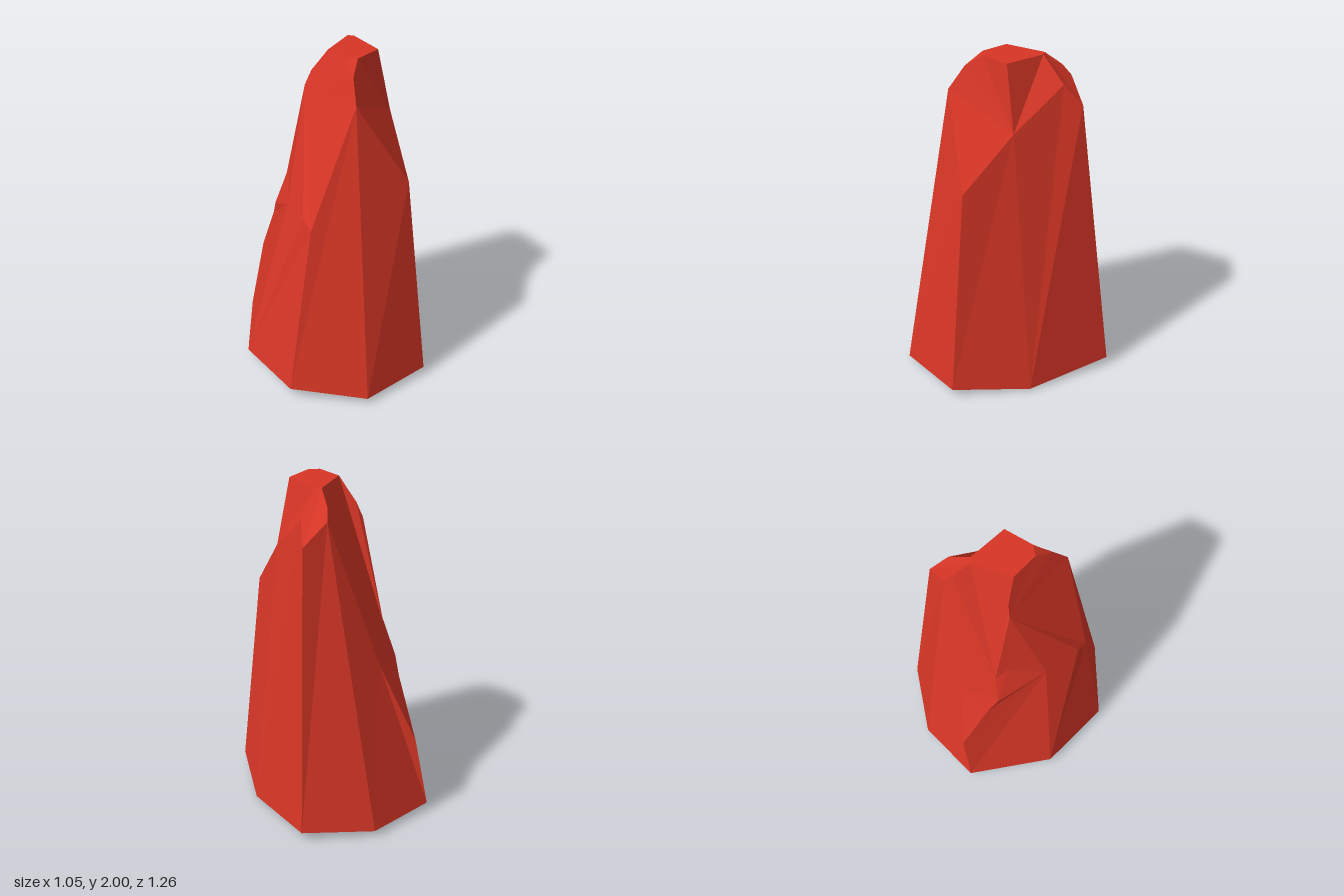
import * as THREE from 'three';

// Corner points, ring by ring
const base = {
  b0: [-0.02, 0.035, 0.63], b1: [0.41, 0.05, 0.5], b2: [0.525, 0.01, 0.05], b3: [0.47, 0.055, -0.48],
  b4: [0.07, 0.035, -0.63], b5: [-0.335, 0.055, -0.54], b6: [-0.53, 0.065, -0.05], b7: [-0.42, 0.06, 0.4],
  bottom: [0.05, 0, 0.02],
};
const shoulder = {
  A: [0.01, 1.8, 0.34], B: [0.32, 1.3, 0.38], C: [-0.255, 1.08, 0.335],
  R: [0.33, 1.62, 0.085], S: [0.32, 1.86, -0.21], T: [0.36, 1.74, -0.31],
  U: [0.21, 1.86, -0.305], V: [0.185, 1.92, -0.26],
  W: [0.03, 1.93, 0.25], X: [-0.08, 1.86, -0.085], Y: [-0.115, 1.77, -0.1],
};
const notch = {
  D: [-0.275, 1.127, 0.265], E: [-0.285, 1.1, 0.04], F: [-0.25, 0.948, -0.265], G: [-0.24, 0.845, -0.33],
  H: [-0.25, 0.506, -0.525], I: [-0.07, 0.977, -0.41], N: [-0.183, 1.15, -0.24], L: [-0.195, 1.22, -0.16],
};
const tip = {
  t0: [-0.01, 2, -0.01], t1: [0.17, 2, -0.16], t2: [0.2, 2, -0.14],
  t3: [0.245, 2, 0.09], t4: [0.09, 2, 0.17], t5: [0.03, 2, 0.145],
};
const points = { ...base, ...shoulder, ...notch, ...tip };
const core = new THREE.Vector3(0.05, 0.8, 0);

// Flat facets, each a fan around its first corner, turned to face away from the core
function facets(list) {
  const pos = [];
  for (const face of list) {
    const v = face.split(' ').map((k) => new THREE.Vector3(...points[k]));
    for (let i = 1; i < v.length - 1; i++) {
      const [a, b, c] = [v[0], v[i], v[i + 1]];
      const n = b.clone().sub(a).cross(c.clone().sub(a));
      const mid = a.clone().add(b).add(c).divideScalar(3).sub(core);
      const tri = n.dot(mid) > 0 ? [a, b, c] : [a, c, b];
      tri.forEach((p) => pos.push(p.x, p.y, p.z));
    }
  }
  const g = new THREE.BufferGeometry();
  g.setAttribute('position', new THREE.Float32BufferAttribute(pos, 3));
  g.computeVertexNormals();
  return g;
}

export function createModel() {
  const group = new THREE.Group();
  group.name = 'rockSpire';
  const red = new THREE.MeshStandardMaterial({ color: 0xd83626, flatShading: true });
  red.name = 'red stone';

  const parts = {
    // Tall tapering sides
    sides: ['b0 b1 B A', 'b7 b0 A C', 'b1 b2 R B', 'b2 b3 T S R', 'b3 b4 U T',
      'I U b4 b5 H', 'E F G H b5 b6', 'b6 b7 C D E'],
    // Steep faces above the ledge
    upperFaces: ['Y N L E D C A W t5 t0 X', 'N Y X t0 t1 V U I'],
    // Broken ledge at the back corner
    ledge: ['L N F E', 'I N F G H'],
    // Chamfered top
    crown: ['t0 t1 t2 t3 t4 t5', 'W t5 t4', 't1 t2 S T U V', 't2 t3 R S', 'R t3 t4 W A B'],
    // Shallow underside
    underside: ['bottom b0 b1 b2 b3 b4 b5 b6 b7 b0'],
  };
  for (const [name, list] of Object.entries(parts)) {
    const mesh = new THREE.Mesh(facets(list), red);
    mesh.name = name;
    group.add(mesh);
  }
  return group;
}
